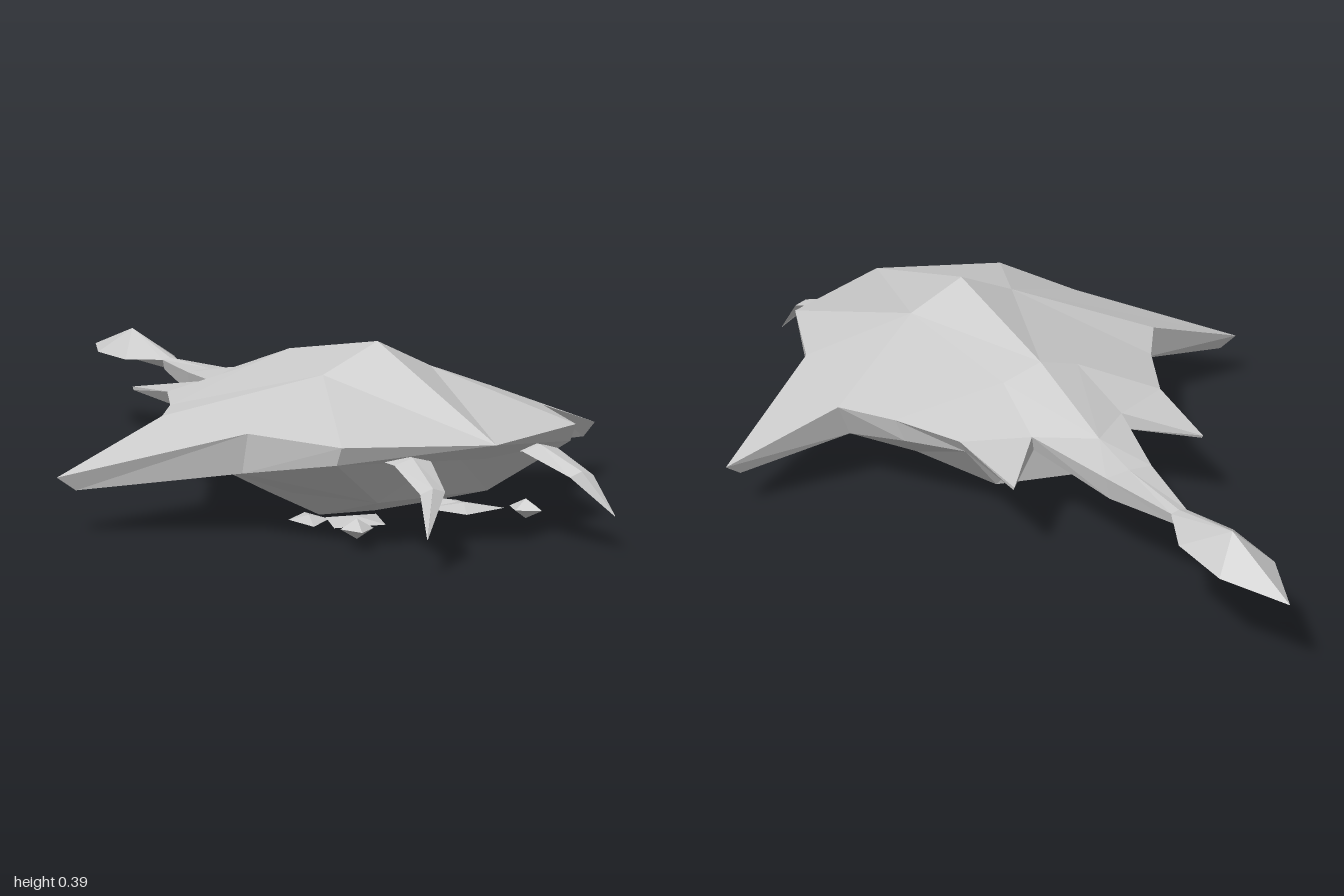
import * as THREE from 'three';

const material = new THREE.MeshStandardMaterial({ color: 0xcccccc, flatShading: true, side: THREE.DoubleSide });

// Builds both halves from named +x points and 'a b c' corner lists
function mirroredMesh(name, points, faces) {
  const pos = [];
  for (const face of faces) {
    const c = face.split(' ').map(k => points[k]);
    for (let i = 1; i < c.length - 1; i++) {
      const tri = [c[0], c[i], c[i + 1]];
      for (const p of tri) pos.push(...p);
      for (const p of tri.reverse()) pos.push(-p[0], p[1], p[2]);
    }
  }
  const g = new THREE.BufferGeometry();
  g.setAttribute('position', new THREE.Float32BufferAttribute(pos, 3));
  g.computeVertexNormals();
  const mesh = new THREE.Mesh(g, material);
  mesh.name = name;
  return mesh;
}

// Shell edge, front to tail (T = upper rim, B = lower rim)
const rim = {
  T0: [0, .235, .9], T1: [.295, .235, .77], T2: [.38, .235, .525], T3: [.71, .13, .275],
  T4: [.435, .235, .235], T5: [.35, .235, .11], T6: [.27, .235, -.06], T7: [.25, .215, -.28],
  T8: [.12, .24, -.13], T9: [.06, .225, -.36], T10: [.02, .225, -.57],
  B0: [0, .2, .86], B1: [.295, .195, .75], B2: [.38, .145, .5], B3: [.67, .1, .285],
  B4: [.4, .15, .25], B5: [.33, .18, .1], B6: [.25, .2, -.05], B7: [.25, .207, -.275],
  B8: [.11, .2, -.12], B9: [.05, .17, -.36], B10: [.015, .2, -.57],
};

// Ridge (R) and shoulder (I) points of the back
const back = {
  ...rim,
  R0: [0, .395, .43], R1: [0, .33, .04], R2: [0, .25, -.23], R3: [0, .23, -.36], R4: [0, .23, -.57],
  I0: [.14, .33, .43], I1: [.1, .3, .04],
};
const backFaces = [
  'T0 T1 I0', 'T0 I0 R0', 'T1 T2 I0', 'T2 T3 I0', 'T3 T4 I0', 'T4 T5 I0', 'T5 I1 I0', 'T5 T6 I1',
  'T6 T7 T8', 'T6 T8 I1', 'T8 R2 I1', 'T8 T9 R2', 'T9 R3 R2', 'T9 T10 R3', 'T10 R4 R3',
  'R0 I0 R1', 'I0 I1 R1', 'I1 R2 R1',
];

// Throat (V), belly girdle (K), keel (M) and tail underside (N)
const belly = {
  ...rim,
  V0: [0, .195, .74],
  K0: [0, .085, .66], K1: [.14, .085, .66], K2: [.23, .08, .45], K3: [.25, .085, .2], K4: [.16, .08, -.03], K5: [0, .075, -.03],
  M0: [0, .012, .42], M1: [.13, .012, .4], M2: [.12, .02, .15], M3: [0, .003, .3], M4: [0, .03, .13],
  N0: [0, .15, -.2], N1: [0, .16, -.36], N2: [0, .195, -.57],
};
const bellyFaces = [
  'B0 B1 V0', 'B1 K1 V0', 'V0 K1 K0', 'B1 B2 K1', 'B2 K2 K1', 'B2 B3 B4', 'B2 B4 K2', 'B4 K3 K2',
  'B4 B5 K3', 'B5 B6 K3', 'B6 K4 K3', 'B6 B7 B8', 'B6 B8 K4', 'B8 N0 K4', 'K4 N0 K5', 'B8 B9 N0',
  'B9 N1 N0', 'B9 B10 N1', 'B10 N2 N1', 'K0 K1 M0', 'K1 M1 M0', 'K1 K2 M1', 'K2 K3 M1', 'K3 M2 M1',
  'K3 K4 M2', 'K4 M4 M2', 'K4 K5 M4', 'M0 M1 M3', 'M1 M2 M3', 'M2 M4 M3',
].map(f => f.split(' ').reverse().join(' '));

// Diamond-section tusk lofted along x, y, z, half width, half height
function tuskMesh() {
  const points = {}, faces = [];
  const sections = [[.14, .2, .7, .06, .012], [.16, .2, .83, .045, .012], [.185, .16, .945, .03, .01], [.232, .08, 1, .001, .001]];
  sections.forEach(([x, y, z, w, h], i) => {
    [[w, 0], [0, h], [-w, 0], [0, -h]].forEach(([dx, dy], j) => { points[`${i}_${j}`] = [x + dx, y + dy, z]; });
    if (i) for (let j = 0; j < 4; j++) {
      const k = (j + 1) % 4;
      faces.push(`${i - 1}_${j} ${i}_${j} ${i}_${k} ${i - 1}_${k}`.split(' ').reverse().join(' '));
    }
  });
  faces.forEach((f, i) => { faces[i] = f.split(' ').reverse().join(' '); });
  return mirroredMesh('tusks', points, faces);
}

export function createModel() {
  const group = new THREE.Group();
  group.add(mirroredMesh('shell', back, backFaces));

  const rimFaces = [];
  for (let i = 0; i < 10; i++) rimFaces.push(`T${i} B${i} B${i + 1} T${i + 1}`);
  group.add(mirroredMesh('shellRim', rim, rimFaces));
  group.add(mirroredMesh('belly', belly, bellyFaces));

  // Leaf-shaped tail blade
  group.add(mirroredMesh('tailBlade', {
    a: [0, .23, -.57], n: [.02, .225, -.57], b: [0, .2, -.57], e: [.07, .215, -.68], f: [.07, .215, -.84],
    tip: [0, .213, -1], top: [0, .28, -.78], low: [0, .2, -.76],
  }, ['a n top', 'n e top', 'e f top', 'f tip top', 'n b low', 'e n low', 'f e low', 'tip f low']));

  group.add(tuskMesh());

  // Small claws and flat leg plates below the belly
  const pieces = [
    ['footClaw', [.215, .045, .7], [.036, .022, .045], .3],
    ['legPlate', [.14, .03, .57], [.09, .012, .075], -.5],
    ['rearLegPlate', [.18, .014, .44], [.045, .01, .08], .4],
  ];
  for (const [name, p, s, turn] of pieces) for (const side of [1, -1]) {
    const mesh = new THREE.Mesh(new THREE.OctahedronGeometry(1), material);
    mesh.name = name + (side > 0 ? 'Left' : 'Right');
    mesh.position.set(p[0] * side, p[1], p[2]);
    mesh.scale.set(...s);
    mesh.rotation.y = turn * side;
    group.add(mesh);
  }
  return group;
}
